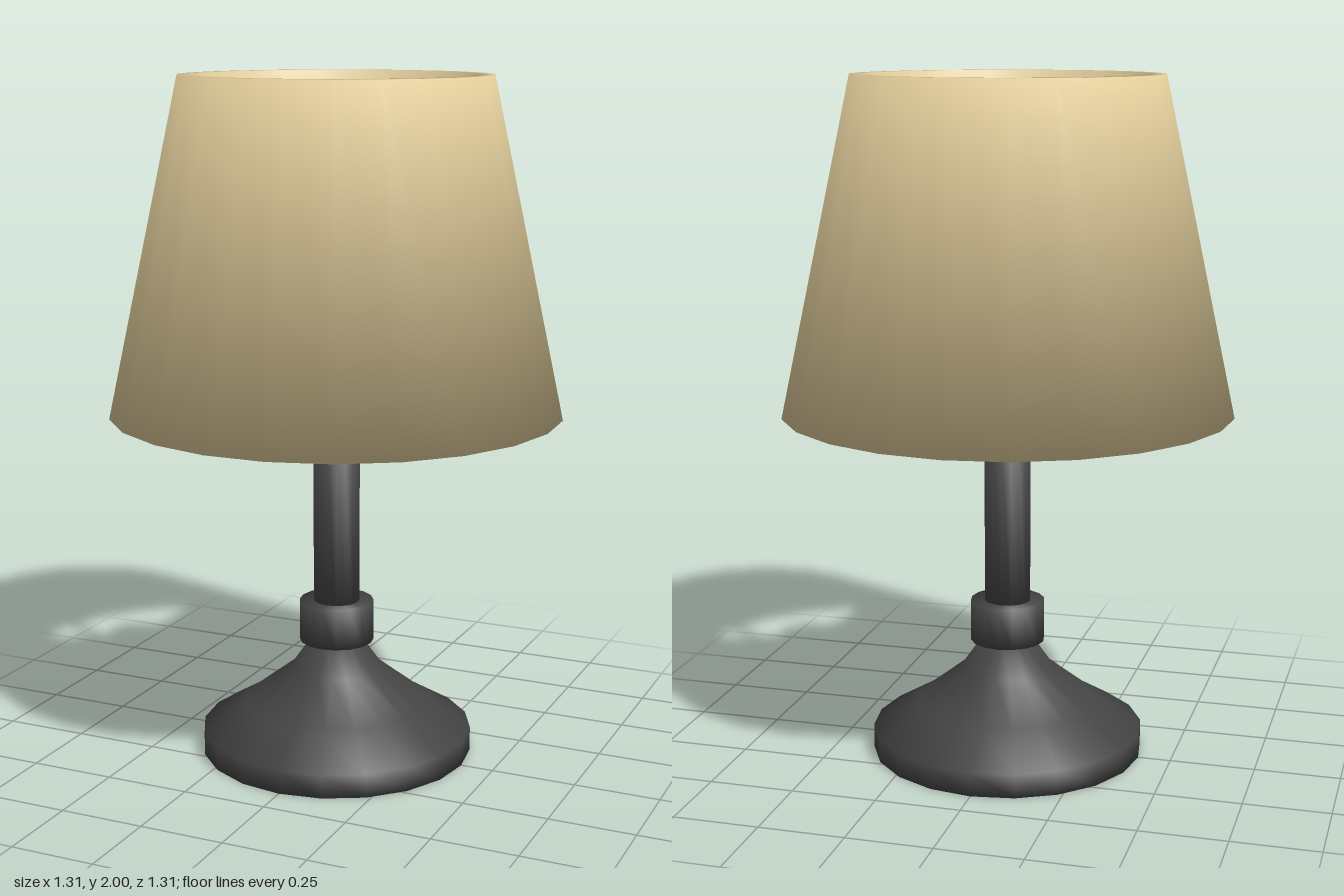
import * as THREE from 'three';

// Lathe with soft normals: each profile corner averages its two neighbouring edges
function softLathe(profile, sides, phiStart = 0) {
  const pts = profile.map(([r, y]) => new THREE.Vector2(r, y));
  const geo = new THREE.LatheGeometry(pts, sides, phiStart);
  const n = pts.length;
  const closed = pts[0].equals(pts[n - 1]);
  const edges = [];
  for (let j = 0; j < n - 1; j++) {
    const d = pts[j + 1].clone().sub(pts[j]).normalize();
    edges.push(new THREE.Vector2(d.y, -d.x));
  }
  const corner = pts.map((_, j) => {
    const before = edges[j - 1] ?? (closed ? edges[n - 2] : edges[0]);
    const after = edges[j] ?? (closed ? edges[0] : edges[n - 2]);
    return before.clone().add(after).normalize();
  });
  const normal = geo.attributes.normal;
  for (let i = 0; i <= sides; i++) {
    const phi = phiStart + (i / sides) * Math.PI * 2;
    for (let j = 0; j < n; j++) {
      const c = corner[j];
      normal.setXYZ(i * n + j, c.x * Math.sin(phi), c.y, c.x * Math.cos(phi));
    }
  }
  return geo;
}

// Capped cylinder profile
const drum = (r, y0, y1) => [[0, y0], [r, y0], [r, y1], [0, y1]];

// Round rod between two points
function rod(a, b, radius, material) {
  const dir = b.clone().sub(a);
  const mesh = new THREE.Mesh(new THREE.CylinderGeometry(radius, radius, dir.length(), 6), material);
  mesh.position.copy(a).addScaledVector(dir, 0.5);
  mesh.quaternion.setFromUnitVectors(new THREE.Vector3(0, 1, 0), dir.normalize());
  return mesh;
}

export function createModel() {
  const model = new THREE.Group();
  model.name = 'tableLamp';

  const material = (name, color) => {
    const m = new THREE.MeshStandardMaterial({ color });
    m.name = name;
    return m;
  };
  const fabric = material('beigeFabric', 0xdfcb99);
  const metal = material('darkMetal', 0x444444);
  const glass = material('paleGlass', 0xdedebe);

  const add = (name, geo, mat) => {
    const mesh = new THREE.Mesh(geo, mat);
    mesh.name = name;
    model.add(mesh);
    return mesh;
  };

  // Stand: flared foot, collar, pole and bulb socket
  add('base', softLathe([[0, 0], [0.403, 0], [0.403, 0.07], [0.27, 0.15],
    [0.135, 0.255], [0.072, 0.345], [0, 0.345]], 20), metal);
  add('collar', softLathe(drum(0.11, 0.337, 0.46), 16), metal);
  add('pole', softLathe(drum(0.068, 0.44, 0.93), 16), metal);
  add('socket', softLathe(drum(0.12, 0.917, 1.22), 16), metal);

  // Bulb with a narrow neck
  add('bulb', softLathe([[0.08, 1.2], [0.08, 1.25], [0.115, 1.33], [0.13, 1.41],
    [0.113, 1.48], [0.065, 1.53], [0, 1.55]], 10), glass);

  // Two bent arms that carry the shade
  for (const side of [-1, 1]) {
    const arm = new THREE.Group();
    arm.name = side > 0 ? 'leftArm' : 'rightArm';
    const root = new THREE.Vector3(side * 0.1, 1.13, 0);
    const bend = new THREE.Vector3(side * 0.235, 1.22, 0);
    const tip = new THREE.Vector3(side * 0.4, 1.91, 0);
    const joint = new THREE.Mesh(new THREE.SphereGeometry(0.02, 8, 6), metal);
    joint.position.copy(bend);
    arm.add(rod(root, bend, 0.02, metal), rod(bend, tip, 0.02, metal), joint);
    model.add(arm);
  }

  // Tapered shade with a wall thickness
  add('shade', softLathe([[0.61, 1.037], [0.659, 1.037], [0.449, 2], [0.402, 2],
    [0.61, 1.037]], 23, Math.PI), fabric).position.z = 0.003;

  return model;
}
